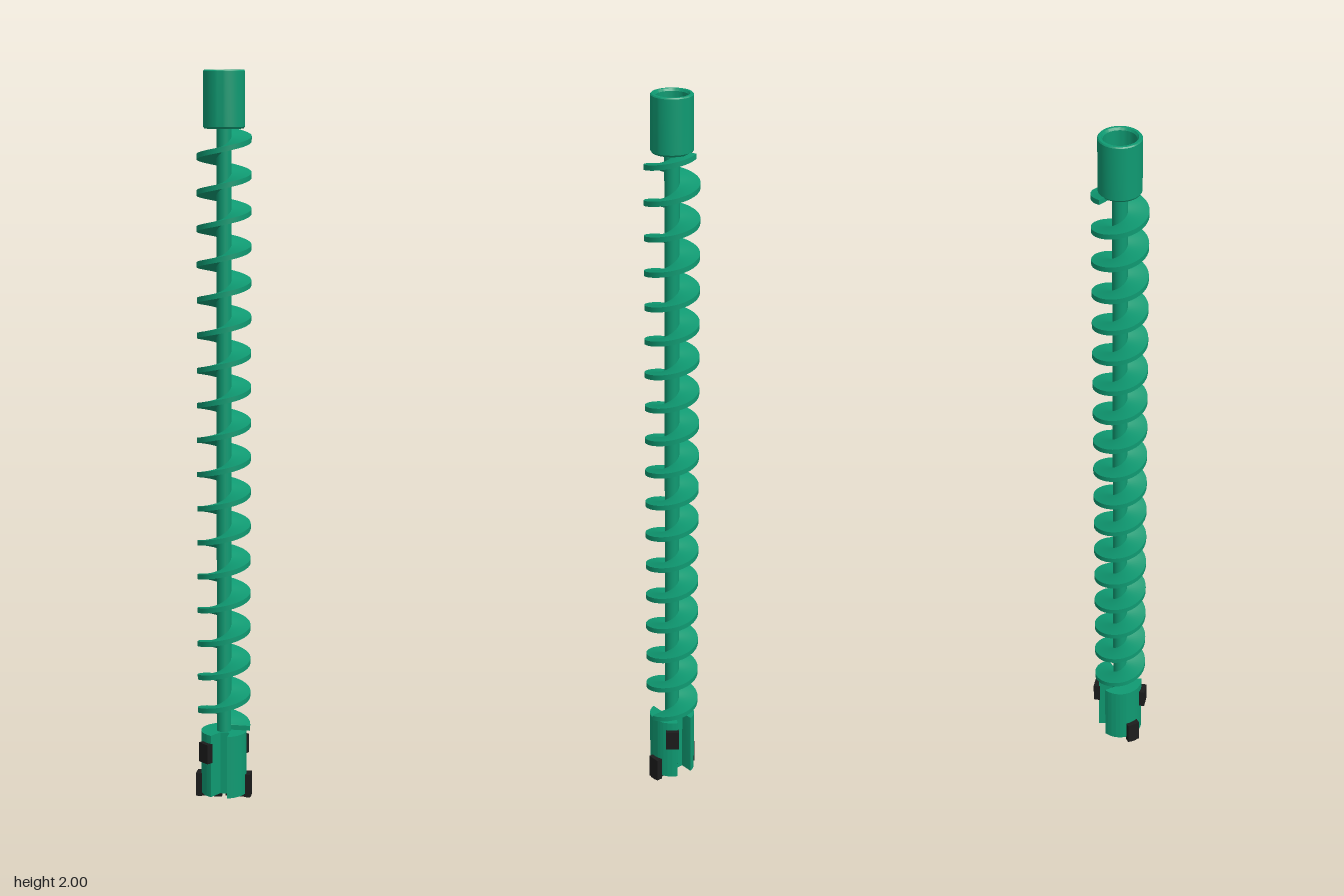
import * as THREE from 'three';
import { toCreasedNormals } from 'three/addons/utils/BufferGeometryUtils.js';

const green = new THREE.MeshStandardMaterial({ color: 0x0f9a72 });
const black = new THREE.MeshStandardMaterial({ color: 0x1c1c1c });
const blue = new THREE.MeshStandardMaterial({ color: 0x1a6f9c });

function add(parent, name, geometry, material, x = 0, y = 0, z = 0) {
  const mesh = new THREE.Mesh(geometry, material);
  mesh.name = name;
  mesh.position.set(x, y, z);
  parent.add(mesh);
  return mesh;
}

// Right-handed screw blade: a rectangular section swept up the axis
function flightGeometry(inner, outer, thick, pitch, y0, turns) {
  const steps = Math.round(turns * 48), h = thick / 2;
  const section = [[inner, h], [outer, h], [outer, -h], [inner, -h]];
  const point = ([r, dy], i) => {
    const a = (i / steps) * turns * Math.PI * 2;
    return [r * Math.cos(a), y0 + (i / steps) * turns * pitch + dy, -r * Math.sin(a)];
  };
  const pos = [], index = [];
  // top face, rim and underside as separate strips to keep the edges sharp
  for (let s = 0; s < 3; s++) {
    const base = pos.length / 3;
    for (let i = 0; i <= steps; i++) {
      pos.push(...point(section[s], i), ...point(section[s + 1], i));
      if (i === steps) continue;
      const k = base + i * 2;
      index.push(k, k + 1, k + 2, k + 1, k + 3, k + 2);
    }
  }
  // end caps
  for (const [i, order] of [[0, [0, 2, 1, 0, 3, 2]], [steps, [0, 1, 2, 0, 2, 3]]]) {
    const base = pos.length / 3;
    section.forEach((c) => pos.push(...point(c, i)));
    index.push(...order.map((o) => base + o));
  }
  const g = new THREE.BufferGeometry();
  g.setAttribute('position', new THREE.Float32BufferAttribute(pos, 3));
  g.setIndex(index);
  g.computeVertexNormals();
  return g;
}

// Round head with a flute cut into the front and, turned half round, the back
function headGeometry(radius, height) {
  const notch = [[-0.026, -0.0574], [-0.006, -0.022], [0.02, -0.022], [0.02, -0.0597]];
  const shape = new THREE.Shape();
  for (const s of [1, -1]) {
    notch.forEach(([x, y], i) => (s === 1 && i === 0 ? shape.moveTo(x, y) : shape.lineTo(x * s, y * s)));
    const from = Math.atan2(-0.0597 * s, 0.02 * s);
    const to = Math.atan2(0.0574 * s, 0.026 * s);
    shape.absarc(0, 0, radius, from, to, false);
  }
  const g = new THREE.ExtrudeGeometry(shape, { depth: height, bevelEnabled: false, curveSegments: 24 });
  g.rotateX(-Math.PI / 2);
  return toCreasedNormals(g, 0.5);
}

export function createModel() {
  const model = new THREE.Group();
  model.name = 'auger';

  // Central shaft and spiral
  add(model, 'shaft', new THREE.CylinderGeometry(0.02, 0.02, 1.72, 32), green, 0, 1.02, 0);
  add(model, 'spiralFlight', flightGeometry(0.017, 0.073, 0.014, 0.0952, 0.2, 17.3), green);

  // Hollow coupling sleeve
  const profile = [
    [0, 1.848], [0.052, 1.848], [0.0555, 1.853], [0.0555, 1.997], [0.053, 2],
    [0.046, 2], [0.042, 1.994], [0.042, 1.89], [0.015, 1.89], [0.006, 1.882], [0, 1.882],
  ].map(([r, y]) => new THREE.Vector2(r, y));
  add(model, 'couplingSleeve', toCreasedNormals(new THREE.LatheGeometry(profile, 48), 0.5), green);
  add(model, 'centrePin', new THREE.CylinderGeometry(0.006, 0.006, 0.01, 20), blue, 0, 1.879, 0);

  // Drill head
  add(model, 'drillHead', headGeometry(0.063, 0.178), green, 0, 0.013, 0);

  // Cutting teeth, each pair half a turn apart
  for (const turn of [0, Math.PI]) {
    const side = new THREE.Group();
    side.name = turn ? 'rightTeeth' : 'leftTeeth';
    side.rotation.y = turn;
    model.add(side);
    add(side, 'cornerTooth', new THREE.BoxGeometry(0.017, 0.066, 0.036), black, 0.067, 0.035, -0.007);
    add(side, 'bottomBlade', new THREE.BoxGeometry(0.071, 0.018, 0.018), black, 0.04, 0.009, -0.006);
    const upper = new THREE.Group();
    upper.name = 'upperToothMount';
    upper.rotation.y = 0.9;
    side.add(upper);
    add(upper, 'upperTooth', new THREE.BoxGeometry(0.018, 0.055, 0.036), black, 0.067, 0.14, 0);
  }
  return model;
}
